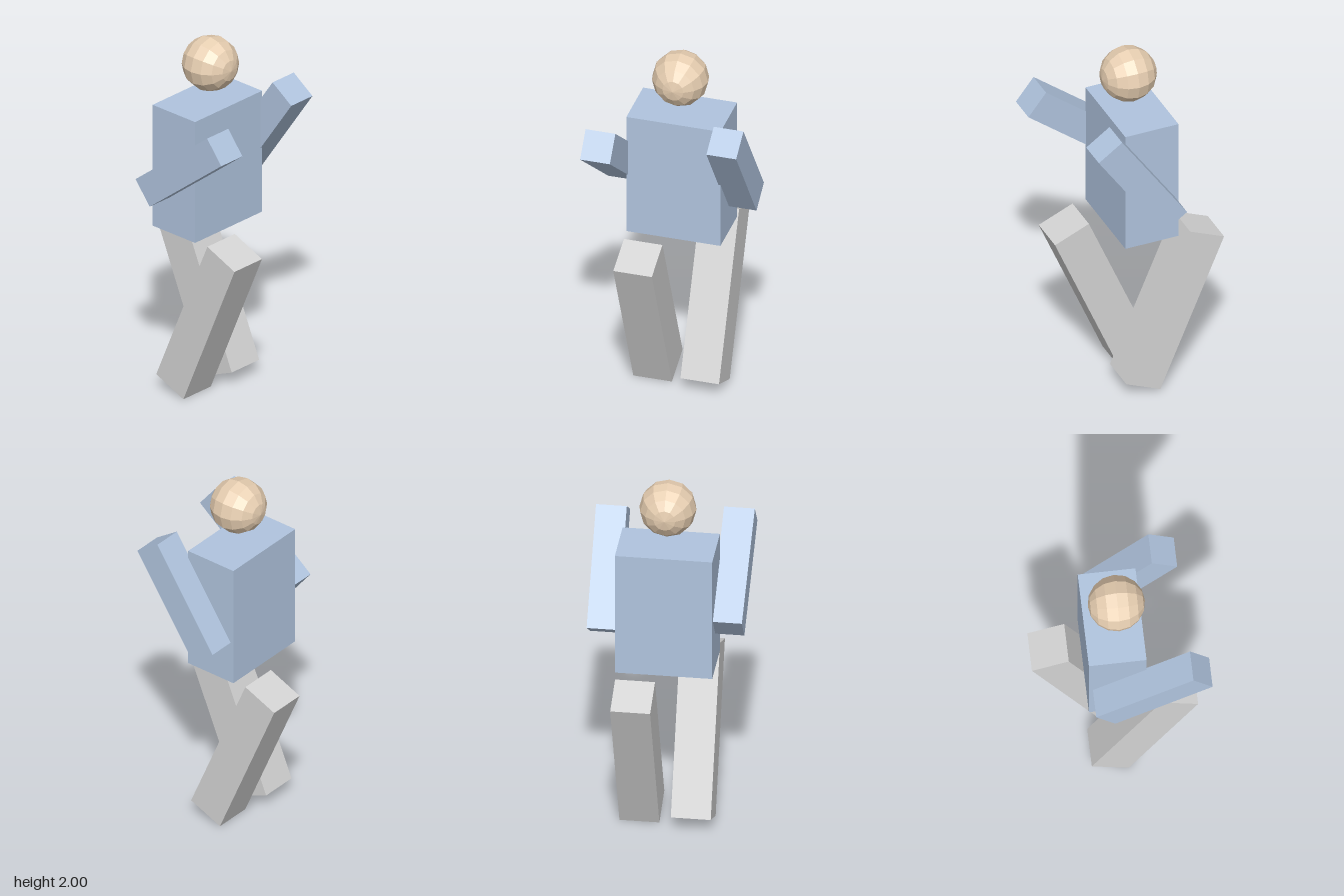
import * as THREE from 'three';

const mat = (name, color) => {
  const m = new THREE.MeshStandardMaterial({ color, flatShading: true });
  m.name = name;
  return m;
};

export function createModel() {
  const model = new THREE.Group();
  model.name = 'blockFigure';
  const skin = mat('skin', 0xffe4c4);
  const shirt = mat('shirtBlue', 0xb0c4de);
  const trousers = mat('trouserGrey', 0xd3d3d3);

  // Box part; a positive tilt (degrees) leans its top end forward
  const block = (name, material, size, position, tilt = 0) => {
    const mesh = new THREE.Mesh(new THREE.BoxGeometry(...size), material);
    mesh.name = name;
    mesh.position.set(...position);
    mesh.rotation.x = THREE.MathUtils.degToRad(tilt);
    model.add(mesh);
  };

  block('torso', shirt, [0.512, 0.7, 0.303], [0, 1.291, -0.032]);

  // Arms, both raised forward at different angles
  const arm = [0.162, 0.65, 0.162];
  block('leftArm', shirt, arm, [0.326, 1.408, 0.086], 34.7);
  block('rightArm', shirt, arm, [-0.328, 1.41, 0.143], 51.7);

  // Legs, crossing in opposite directions
  const leg = [0.21, 0.932, 0.21];
  block('leftLeg', trousers, leg, [0.14, 0.471, -0.17], -23);
  block('rightLeg', trousers, leg, [-0.141, 0.471, 0.112], 23);

  // Floating faceted head with its poles facing front and back
  const head = new THREE.Mesh(new THREE.SphereGeometry(0.15, 12, 8), skin);
  head.name = 'head';
  head.position.set(0, 1.85, -0.01);
  head.rotation.x = Math.PI / 2;
  model.add(head);

  return model;
}
